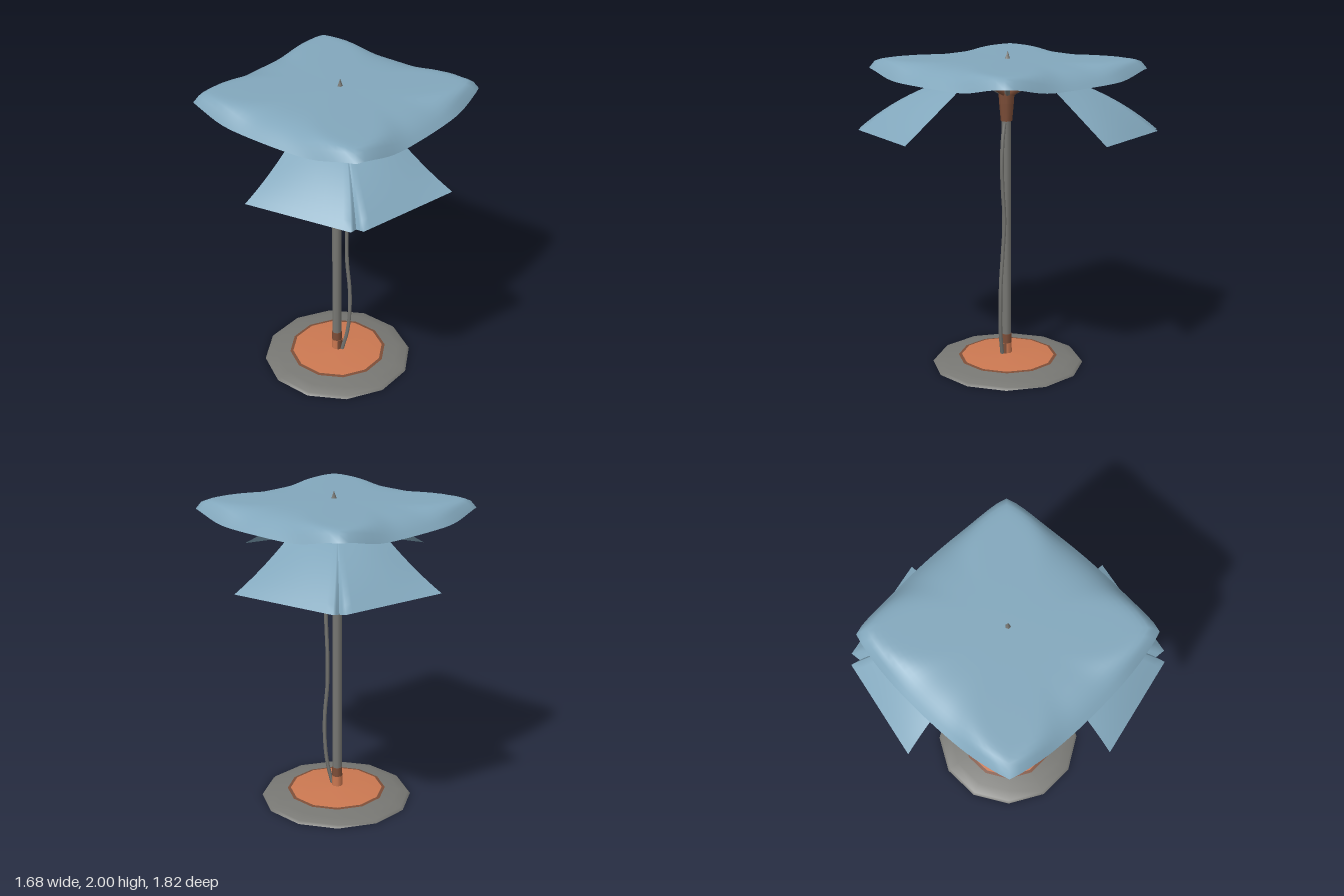
import * as THREE from 'three';
import { mergeVertices } from 'three/addons/utils/BufferGeometryUtils.js';

const mat = (name, color, side = THREE.FrontSide) => {
  const m = new THREE.MeshStandardMaterial({ color, side });
  m.name = name;
  return m;
};
const V = (x, y, z) => new THREE.Vector3(x, y, z);

// Smooth sheet over a (u, v) grid; front side is dP/du x dP/dv
function sheet(fn, nu, nv, flip = false) {
  const pos = [], idx = [];
  for (let j = 0; j <= nv; j++)
    for (let i = 0; i <= nu; i++) pos.push(...fn(i / nu, j / nv).toArray());
  for (let j = 0; j < nv; j++)
    for (let i = 0; i < nu; i++) {
      const a = j * (nu + 1) + i, b = a + 1, c = a + nu + 1, d = c + 1;
      idx.push(...(flip ? [a, c, b, b, c, d] : [a, b, c, b, d, c]));
    }
  const g = new THREE.BufferGeometry();
  g.setAttribute('position', new THREE.Float32BufferAttribute(pos, 3));
  g.setIndex(idx);
  const merged = mergeVertices(g, 1e-5);
  merged.computeVertexNormals();
  return merged;
}

// Upper canopy: diamond plan with slightly bowed sides, flat corners, rolled-down edges
function canopyPoint(angle, t) {
  const c = Math.abs(Math.cos(angle)), s = Math.abs(Math.sin(angle)), p = 1.17;
  const r = t * 0.84 / Math.pow(Math.pow(c, p) + Math.pow(s, p), 1 / p);
  const corner = Math.abs(Math.cos(2 * angle));
  const drop = 0.108 * (1 - 0.45 * Math.pow(corner, 10));
  const y = 1.954 - drop * Math.pow(t, 7 + 22 * Math.pow(corner, 5));
  return V(r * Math.cos(angle), y, r * Math.sin(angle));
}

// Quadratic curve passing through three points
function through(a, m, b) {
  const ctrl = m.clone().multiplyScalar(2).sub(a.clone().add(b).multiplyScalar(0.5));
  return new THREE.QuadraticBezierCurve3(a, ctrl, b);
}

export function createModel() {
  const root = new THREE.Group();
  const blue = mat('blue fabric', 0x82a7bc, THREE.DoubleSide);
  const lining = mat('dark lining', 0x686863, THREE.DoubleSide);
  const grey = mat('grey metal', 0x777773, THREE.DoubleSide);
  const orange = mat('orange rust', 0xcb7851);
  const brown = mat('brown rust', 0x7d4e38);
  const yellow = mat('ochre', 0xcb9845);

  const add = (name, geo, m, parent = root) => {
    const mesh = new THREE.Mesh(geo, m);
    mesh.name = name;
    parent.add(mesh);
    return mesh;
  };
  const lathe = (name, pts, m, seg = 12) =>
    add(name, new THREE.LatheGeometry(pts.map(p => new THREE.Vector2(...p)), seg), m);
  const rod = (name, a, b, r, m, parent = root) => {
    const mesh = add(name, new THREE.CylinderGeometry(r, r, a.distanceTo(b), 5), m, parent);
    mesh.position.copy(a).lerp(b, 0.5);
    mesh.quaternion.setFromUnitVectors(V(0, 1, 0), b.clone().sub(a).normalize());
    return mesh;
  };

  // Weighted base: coloured rings above and below
  lathe('baseTop', [[0.48, 0], [0.465, 0.016], [0.4, 0.032], [0.315, 0.045]], grey);
  lathe('baseRing', [[0.315, 0.045], [0.295, 0.048]], brown);
  lathe('baseCentre', [[0.295, 0.048], [0.2, 0.057], [0, 0.064]], orange);
  lathe('baseBottomCentre', [[0, 0.016], [0.2, 0.01]], yellow);
  lathe('baseBottomRing', [[0.2, 0.01], [0.3, 0.006]], orange);
  lathe('baseBottom', [[0.3, 0.006], [0.48, 0]], grey);

  // Pole with rusty foot collar, hub and finial
  const px = -0.006, pz = 0.008;
  const shaft = (name, rt, rb, y0, y1, m, seg = 8) => {
    const mesh = add(name, new THREE.CylinderGeometry(rt, rb, y1 - y0, seg), m);
    mesh.position.set(px, (y0 + y1) / 2, pz);
    return mesh;
  };
  shaft('pole', 0.029, 0.03, 0.05, 1.6, grey);
  shaft('footCollarTop', 0.032, 0.033, 0.13, 0.19, brown);
  shaft('footCollar', 0.033, 0.034, 0.05, 0.13, orange);
  const patch = add('footCollarPatch', new THREE.CylinderGeometry(0.036, 0.037, 0.08, 4, 1, true, 0, Math.PI / 2), brown);
  patch.position.set(px, 0.09, pz);
  shaft('hubLower', 0.045, 0.035, 1.57, 1.68, brown);
  shaft('hubUpper', 0.05, 0.045, 1.68, 1.76, brown);
  shaft('mast', 0.022, 0.028, 1.76, 1.94, grey);
  const finial = add('finial', new THREE.ConeGeometry(0.018, 0.05, 5), grey);
  finial.position.set(0.014, 1.975, 0);

  // Slack cord hanging beside the pole
  const cord = new THREE.CatmullRomCurve3([
    V(0.03, 1.56, 0.02), V(0.05, 1.46, 0.03), V(0.065, 1.3, 0.035), V(0.062, 1.15, 0.03),
    V(0.055, 0.95, 0.02), V(0.056, 0.75, 0.03), V(0.072, 0.55, 0.042), V(0.074, 0.4, 0.045),
    V(0.06, 0.22, 0.045), V(0.025, 0.06, 0.035)]);
  add('cord', new THREE.TubeGeometry(cord, 36, 0.012, 4), grey);

  // Upper canopy with lining beneath
  const canopy = new THREE.Group();
  canopy.name = 'upperCanopy';
  root.add(canopy);
  add('canopyTop', sheet((u, v) => canopyPoint(u * Math.PI * 2, v), 96, 24), blue, canopy);
  const under = (angle, t, gap) => {
    const p = canopyPoint(angle, t * 0.985);
    p.y -= gap;
    return p;
  };
  add('canopyLining', sheet((u, v) => under(u * Math.PI * 2, v, 0.008), 96, 24, true), lining, canopy);

  // Faded spots on the lining: x, z, radius
  for (const [x, z, r] of [[0.16, 0.56, 0.09], [0.06, 0.64, 0.06], [-0.43, 0, 0.045], [0.33, -0.42, 0.035], [-0.45, -0.2, 0.03]]) {
    const spot = (u, v) => {
      const a = u * Math.PI * 2, w = r * v * (1 + 0.2 * Math.sin(3 * a));
      const sx = x + w * Math.cos(a), sz = z + w * Math.sin(a), angle = Math.atan2(sz, sx);
      const rim = canopyPoint(angle, 1);
      return under(angle, Math.hypot(sx, sz) / Math.hypot(rim.x, rim.z), 0.015);
    };
    add('liningSpot', sheet(spot, 20, 5), blue, canopy);
  }

  // Ribs to the corners and struts fanning from the hub
  for (let k = 0; k < 8; k++) {
    const a = k * Math.PI / 4, dir = V(Math.cos(a), 0, Math.sin(a));
    const at = (r, y) => dir.clone().multiplyScalar(r).setY(y);
    if (k % 2 === 0) rod('canopyRib', at(0.02, 1.935), at(0.76, 1.935), 0.009, grey, canopy);
    rod('strut', at(0.035, 1.745), at(0.25, 1.87), 0.018, k % 2 ? brown : grey);
    rod('crossStrut', at(0.03, 1.9), at(0.2, 1.86), 0.014, k % 2 ? grey : brown);
  }

  // Lower flaps front and back: mirrored panels whose seam folds inward towards the tip
  const seam = through(V(0, 1.86, 0.24), V(0, 1.724, 0.595), V(0, 1.505, 0.865));
  const ridge = through(V(0.004, 1.86, 0.24), V(0.012, 1.728, 0.6), V(0.035, 1.518, 0.912));
  const side = through(V(0.22, 1.855, 0.22), V(0.4, 1.678, 0.41), V(0.585, 1.532, 0.57));
  const panel = (u, v) => {
    if (u < 0.125) return seam.getPoint(v).lerp(ridge.getPoint(v), u / 0.125);
    const w = (u - 0.125) / 0.875;
    const p = ridge.getPoint(v).lerp(side.getPoint(v), w);
    p.y += 0.015 * Math.sin(Math.PI * w) * Math.sin(Math.PI * v);
    return p;
  };
  for (const f of [1, -1]) {
    const flap = new THREE.Group();
    flap.name = f > 0 ? 'frontFlap' : 'backFlap';
    root.add(flap);
    for (const s of [1, -1]) {
      const place = p => V(p.x * s, p.y, p.z * f);
      add(s > 0 ? 'flapPanelLeft' : 'flapPanelRight',
        sheet((u, v) => place(panel(u, v)), 16, 12, s * f > 0), blue, flap);
      rod('flapArm', V(0.02 * s, 1.75, 0.03 * f), V(0.21 * s, 1.845, 0.21 * f), 0.012, grey, flap);
    }
    rod('flapSpine', V(0, 1.76, 0.04 * f), V(0, 1.84, 0.26 * f), 0.014, brown, flap);
  }
  return root;
}
